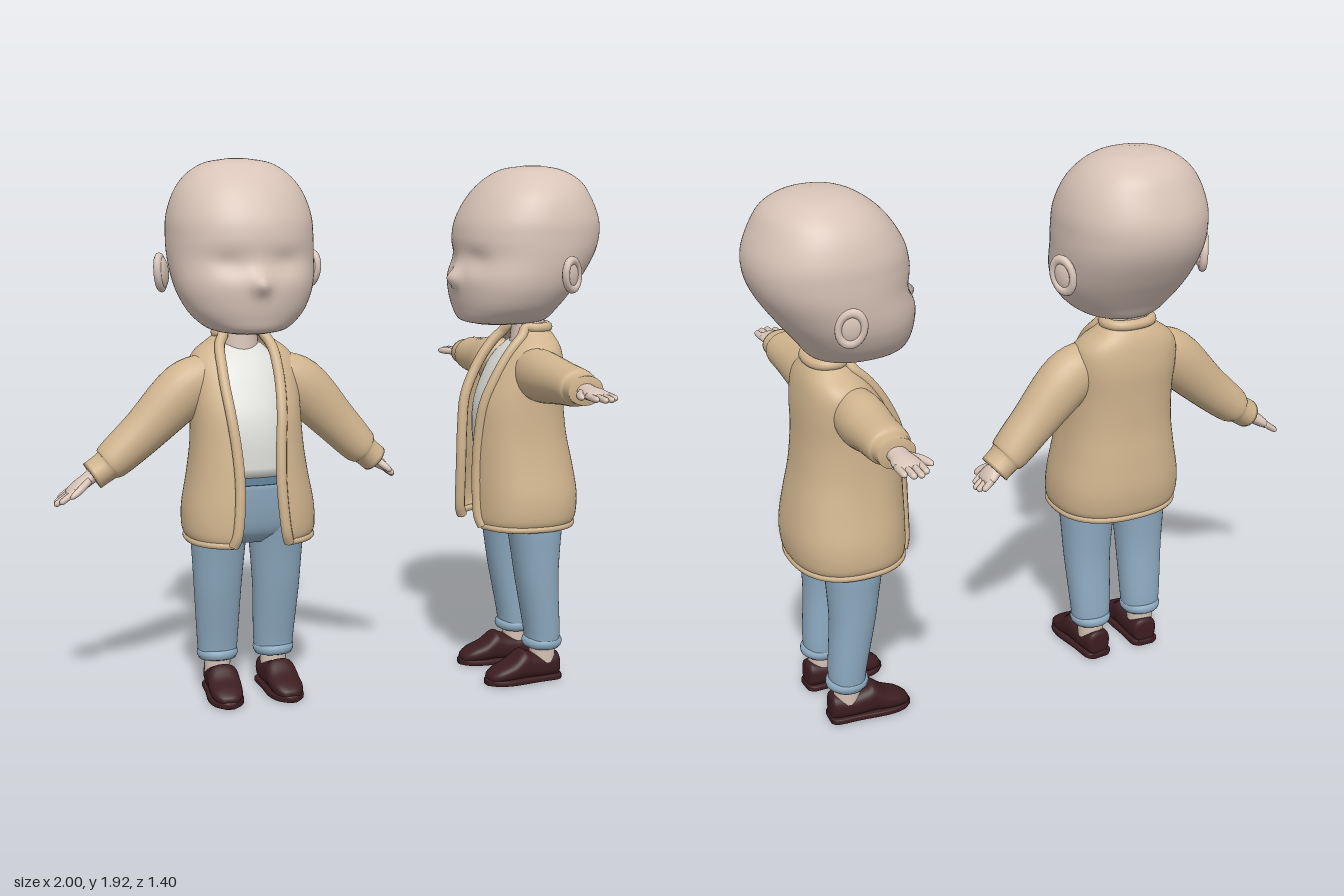
import * as THREE from 'three';

const mat = (name, color, side = THREE.FrontSide) => {
  const m = new THREE.MeshStandardMaterial({ color, side });
  m.name = name;
  return m;
};
const M = {
  skin: mat('skin', 0xd8c4b8),
  coat: mat('tan knit', 0xd0b48e, THREE.DoubleSide),
  shirt: mat('off white cotton', 0xdededa),
  denim: mat('blue denim', 0x8eabc1),
  belt: mat('dark denim', 0x5f7f99),
  shoe: mat('dark brown leather', 0x3c1d20),
};

function add(parent, name, geo, material) {
  const m = new THREE.Mesh(geo, material);
  m.name = name;
  parent.add(m);
  return m;
}

// Surface through a list of rings; capped ends collapse to the ring centre.
function skin(rings, closed, caps) {
  const centre = (r) => r.map(() => r.reduce((s, p) => s.add(p), new THREE.Vector3()).divideScalar(r.length));
  const all = caps ? [centre(rings[0]), ...rings, centre(rings.at(-1))] : rings;
  const n = rings[0].length, idx = [], cols = closed ? n : n - 1;
  for (let j = 0; j < all.length - 1; j++)
    for (let i = 0; i < cols; i++) {
      const k = (i + 1) % n, a = j * n + i, b = j * n + k;
      idx.push(a, b, a + n, b, b + n, a + n);
    }
  const g = new THREE.BufferGeometry().setFromPoints(all.flat());
  g.setIndex(idx);
  g.computeVertexNormals();
  return g;
}

// Smoothly resample rows of numbers.
function resample(rows, steps) {
  const out = [], w = rows[0].length;
  const curves = [0, 3].map((o) => new THREE.CatmullRomCurve3(
    rows.map((r) => new THREE.Vector3(r[o] ?? 0, r[o + 1] ?? 0, r[o + 2] ?? 0)), false, 'catmullrom', 0.5));
  const n = (rows.length - 1) * steps;
  for (let i = 0; i <= n; i++)
    out.push(curves.flatMap((c) => c.getPoint(i / n).toArray()).slice(0, Math.max(w, 6)));
  return out;
}

// Rings stacked upwards. Row: [y, halfWidth, zFront, zBack, xCentre, halfOpening]
function loftRings(rows, { n = 2.2, seg = 40, steps = 4 } = {}) {
  const open = rows[0].length > 5;
  return resample(rows, steps).map(([y, hw, zf, zb, cx, gap]) => {
    const w = Math.max(hw, 0.0005), ring = [];
    const a0 = open ? Math.asin(Math.min(1, (gap / w) ** (n / 2))) : 0;
    const count = open ? seg + 1 : seg;
    for (let i = 0; i < count; i++) {
      const a = a0 + (i / seg) * (Math.PI * 2 - 2 * a0), s = Math.sin(a), c = Math.cos(a);
      ring.push(new THREE.Vector3(cx + w * Math.sign(s) * Math.abs(s) ** (2 / n), y,
        (zf + zb) / 2 + ((zf - zb) / 2) * Math.sign(c) * Math.abs(c) ** (2 / n)));
    }
    return ring;
  });
}
const loft = (rows, opt) => skin(loftRings(rows, opt), true, true);

// Limb swept along a path. Row: [x, y, thickness radius, width radius, z]
function sweep(rows, seg = 20, steps = 5) {
  const pts = resample(rows, steps);
  return skin(pts.map(([x, y, ry, rz, z], i) => {
    const p = pts[Math.max(0, i - 1)], q = pts[Math.min(pts.length - 1, i + 1)];
    const l = Math.hypot(q[0] - p[0], q[1] - p[1]), tx = (q[0] - p[0]) / l, ty = (q[1] - p[1]) / l;
    return Array.from({ length: seg }, (_, k) => {
      const a = (k / seg) * Math.PI * 2, c = Math.cos(a) * ry;
      return new THREE.Vector3(x - ty * c, y + tx * c, z + Math.sin(a) * rz);
    });
  }), true, true);
}

function makeHead() {
  const head = new THREE.Group();
  head.name = 'head';
  const g = loft([[1.327, 0.08, 0.16, -0.05], [1.343, 0.14, 0.213, -0.105], [1.39, 0.195, 0.232, -0.14],
    [1.45, 0.23, 0.243, -0.185], [1.51, 0.248, 0.245, -0.228], [1.59, 0.257, 0.229, -0.275],
    [1.66, 0.258, 0.229, -0.296], [1.73, 0.253, 0.214, -0.293], [1.81, 0.226, 0.17, -0.262],
    [1.87, 0.18, 0.115, -0.225], [1.91, 0.115, 0.05, -0.16], [1.925, 0.03, -0.03, -0.09]], { seg: 80, steps: 6 });
  // Nose and shallow eye sockets
  const p = g.attributes.position, bump = (d, s) => Math.exp(-((d / s) ** 2));
  for (let i = 0; i < p.count; i++) {
    const x = p.getX(i), y = p.getY(i), z = p.getZ(i);
    if (z > 0.05) p.setZ(i, z + 0.036 * bump(x, 0.028) * bump(y - 1.508, 0.035)
      - 0.014 * bump(Math.abs(x) - 0.1, 0.06) * bump(y - 1.575, 0.04));
  }
  g.computeVertexNormals();
  add(head, 'face', g.translate(0, -1.33, 0), M.skin);
  for (const s of [-1, 1]) {
    const ear = new THREE.Group();
    ear.name = s > 0 ? 'leftEar' : 'rightEar';
    add(ear, 'earShell', new THREE.SphereGeometry(1, 24, 16).scale(0.02, 0.058, 0.042), M.skin);
    add(ear, 'earRim', new THREE.TorusGeometry(0.046, 0.014, 10, 28).rotateY(Math.PI / 2).scale(1, 1.2, 0.86), M.skin).position.x = s * 0.008;
    ear.position.set(s * 0.268, 0.2, -0.075);
    ear.rotation.set(0.25, s * 0.45, -s * 0.15);
    head.add(ear);
  }
  return head;
}

// Palm, four fingers and a thumb between two points
function makeHand([x0, y0], [x1, y1]) {
  const hand = new THREE.Group();
  hand.name = 'hand';
  const at = (t, ry, rz, z = 0) => [x0 + (x1 - x0) * t, y0 + (y1 - y0) * t, ry, rz, z];
  add(hand, 'palm', sweep([at(-0.15, 0.03, 0.036), at(0.15, 0.024, 0.036), at(0.4, 0.022, 0.046),
    at(0.6, 0.016, 0.047), at(0.68, 0.008, 0.04)]), M.skin);
  [0.9, 1, 0.98, 0.87].forEach((len, i) => {
    const z = 0.035 - i * 0.0235;
    add(hand, 'finger', sweep([at(0.5, 0.012, 0.012, z), at(len - 0.1, 0.011, 0.0115, z),
      at(len - 0.03, 0.008, 0.008, z), at(len, 0.002, 0.002, z)], 12), M.skin);
  });
  add(hand, 'thumb', sweep([at(0.15, 0.012, 0.014, 0.028), at(0.4, 0.013, 0.015, 0.055),
    at(0.6, 0.01, 0.012, 0.067), at(0.68, 0.003, 0.003, 0.068)], 12), M.skin);
  return hand;
}

function makeLeg(s, spread) {
  const leg = new THREE.Group();
  leg.name = s > 0 ? 'leftLeg' : 'rightLeg';
  add(leg, 'trouserLeg', loft([[0.13, 0.068, -0.002, -0.122, 0], [0.2, 0.074, 0.006, -0.124, 0],
    [0.38, 0.084, 0.042, -0.112, 0.003 * s], [0.5, 0.092, 0.062, -0.115, 0.002 * s],
    [0.6, 0.099, 0.08, -0.122, 0], [0.7, 0.098, 0.1, -0.13, -0.01 * s]]), M.denim);
  const cuff = add(leg, 'trouserCuff', new THREE.TorusGeometry(0.064, 0.011, 10, 32).rotateX(Math.PI / 2), M.denim);
  cuff.position.set(0, 0.15, -0.062);
  cuff.scale.y = 1.6;
  add(leg, 'ankle', new THREE.CylinderGeometry(0.05, 0.046, 0.13, 20), M.skin).position.set(0, 0.11, -0.065);

  // Loafer: sections run from heel to toe, then tip forward
  const shoe = new THREE.Group();
  shoe.name = 'shoe';
  const lay = (rows, n) => loft(rows, { n, seg: 32 }).rotateX(Math.PI / 2);
  add(shoe, 'upper', lay([[-0.128, 0.03, -0.012, -0.09], [-0.115, 0.046, -0.012, -0.105], [-0.06, 0.053, -0.012, -0.1],
    [-0.005, 0.056, -0.012, -0.112], [0.025, 0.057, -0.012, -0.122], [0.07, 0.059, -0.012, -0.086],
    [0.12, 0.053, -0.012, -0.064], [0.15, 0.034, -0.012, -0.045], [0.158, 0.015, -0.014, -0.033]], 2.5), M.shoe);
  add(shoe, 'sole', lay([[-0.132, 0.036, 0, -0.024], [-0.11, 0.053, 0, -0.024], [-0.03, 0.056, 0, -0.024],
    [0.07, 0.064, 0, -0.024], [0.13, 0.052, 0, -0.024], [0.163, 0.02, 0, -0.024]], 5), M.shoe);
  shoe.rotation.y = s * 0.06;
  leg.add(shoe);
  leg.position.x = s * spread;
  return leg;
}

function makeFigure({ name, lean, spread, arms }) {
  const fig = new THREE.Group();
  fig.name = name;
  // Lower body shifts forward while the shoulders stay
  const leanZ = (y) => lean * (1 - THREE.MathUtils.smoothstep(y, 0.6, 1.2));
  const bend = (rings) => {
    rings.flat().forEach((v) => { v.z += leanZ(v.y); });
    return rings;
  };
  const body = (partName, rows, m) => add(fig, partName, skin(bend(loftRings(rows, { n: 2.4 })), true, true), m);

  // Open cardigan with a rolled front band, collar and hem
  const coat = bend(loftRings([[0.597, 0.222, 0.185, -0.192, 0, 0.1], [0.63, 0.236, 0.193, -0.206, 0, 0.09],
    [0.71, 0.235, 0.195, -0.21, 0, 0.08], [0.82, 0.215, 0.195, -0.192, 0, 0.075], [0.93, 0.2, 0.193, -0.168, 0, 0.08],
    [1.05, 0.195, 0.182, -0.154, 0, 0.092], [1.15, 0.197, 0.14, -0.15, 0, 0.1], [1.215, 0.19, 0.1, -0.142, 0, 0.1],
    [1.255, 0.165, 0.07, -0.133, 0, 0.098], [1.285, 0.125, 0.045, -0.12, 0, 0.09],
    [1.315, 0.086, 0.025, -0.1, 0, 0.072]], { n: 2.4, seg: 56 }));
  add(fig, 'cardiganBody', skin(coat, false, false), M.coat);
  const tube = (partName, pts, r) =>
    add(fig, partName, new THREE.TubeGeometry(new THREE.CatmullRomCurve3(pts), 160, r, 10), M.coat);
  const every = (list, k) => list.filter((_, i) => i % k === 0);
  const ends = every(coat, 4), collar = every(coat.at(-1), 7);
  tube('cardiganBand', [...ends.map((r) => r[0]), ...collar.slice(1, -1), ...ends.map((r) => r.at(-1)).reverse()], 0.019);
  tube('cardiganHem', every(coat[0], 4), 0.012);

  body('shirt', [[0.825, 0.165, 0.145, -0.14], [0.95, 0.165, 0.158, -0.13], [1.05, 0.165, 0.148, -0.12],
    [1.15, 0.16, 0.108, -0.115], [1.21, 0.14, 0.072, -0.11], [1.25, 0.1, 0.038, -0.1], [1.275, 0.075, 0.01, -0.1]], M.shirt);
  body('waistband', [[0.797, 0.168, 0.142, -0.14], [0.828, 0.166, 0.142, -0.14]], M.belt);
  body('trouserHips', [[0.575, 0.09, 0.05, -0.1], [0.62, 0.185, 0.09, -0.128], [0.7, 0.19, 0.115, -0.145],
    [0.805, 0.165, 0.138, -0.138]], M.denim);

  const neck = add(fig, 'neck', new THREE.CylinderGeometry(0.056, 0.07, 0.16, 28), M.skin);
  neck.position.set(0, 1.3, -0.038);
  for (const s of [-1, 1]) {
    const leg = makeLeg(s, spread);
    leg.position.z = lean;
    fig.add(leg);
  }
  for (const { sleeve, wrist, tip } of arms) {
    const arm = new THREE.Group();
    arm.name = tip[0] > 0 ? 'leftArm' : 'rightArm';
    add(arm, 'sleeve', sweep(sleeve, 28), M.coat);
    arm.add(makeHand(wrist, tip));
    fig.add(arm);
  }
  const head = makeHead();
  head.position.y = 1.33;
  fig.add(head);
  return { fig, head };
}

export function createModel() {
  const model = new THREE.Group();
  model.name = 'twoFigures';

  // Figure with lowered arms, facing the front
  const a = makeFigure({
    name: 'frontFigure', lean: 0.055, spread: 0.106,
    arms: [
      { sleeve: [[-0.1, 1.185, 0.07, 0.07], [-0.21, 1.125, 0.098, 0.088], [-0.36, 0.984, 0.081, 0.078],
        [-0.475, 0.885, 0.068, 0.074], [-0.5, 0.865, 0.054, 0.066], [-0.55, 0.832, 0.052, 0.064]],
        wrist: [-0.54, 0.84], tip: [-0.686, 0.737] },
      { sleeve: [[0.1, 1.185, 0.07, 0.07], [0.21, 1.12, 0.098, 0.088], [0.345, 0.98, 0.081, 0.078],
        [0.435, 0.885, 0.068, 0.074], [0.457, 0.865, 0.054, 0.066], [0.497, 0.83, 0.052, 0.064]],
        wrist: [0.475, 0.85], tip: [0.569, 0.765] },
    ],
  });
  a.fig.position.set(-0.314, 0, -0.16);

  // Figure with level arms, facing the other one
  const level = (s, end, tip) => ({
    sleeve: [[s * 0.1, 1.17, 0.08, 0.075], [s * 0.21, 1.158, 0.094, 0.086], [s * (end - 0.17), 1.158, 0.075, 0.079],
      [s * (end - 0.07), 1.158, 0.066, 0.075], [s * (end - 0.045), 1.158, 0.053, 0.066], [s * end, 1.157, 0.051, 0.064]],
    wrist: [s * (end - 0.01), 1.157], tip: [s * tip, 1.15],
  });
  const b = makeFigure({
    name: 'sideFigure', lean: 0, spread: 0.124,
    arms: [level(1, 0.562, 0.738), level(-1, 0.492, 0.662)],
  });
  b.head.scale.y = 0.947;
  b.head.position.x = -0.03;
  b.head.rotation.y = 0.06;
  b.fig.position.set(0.7, 0, -0.04);
  b.fig.rotation.y = -Math.PI / 2;

  model.add(a.fig, b.fig);
  return model;
}
